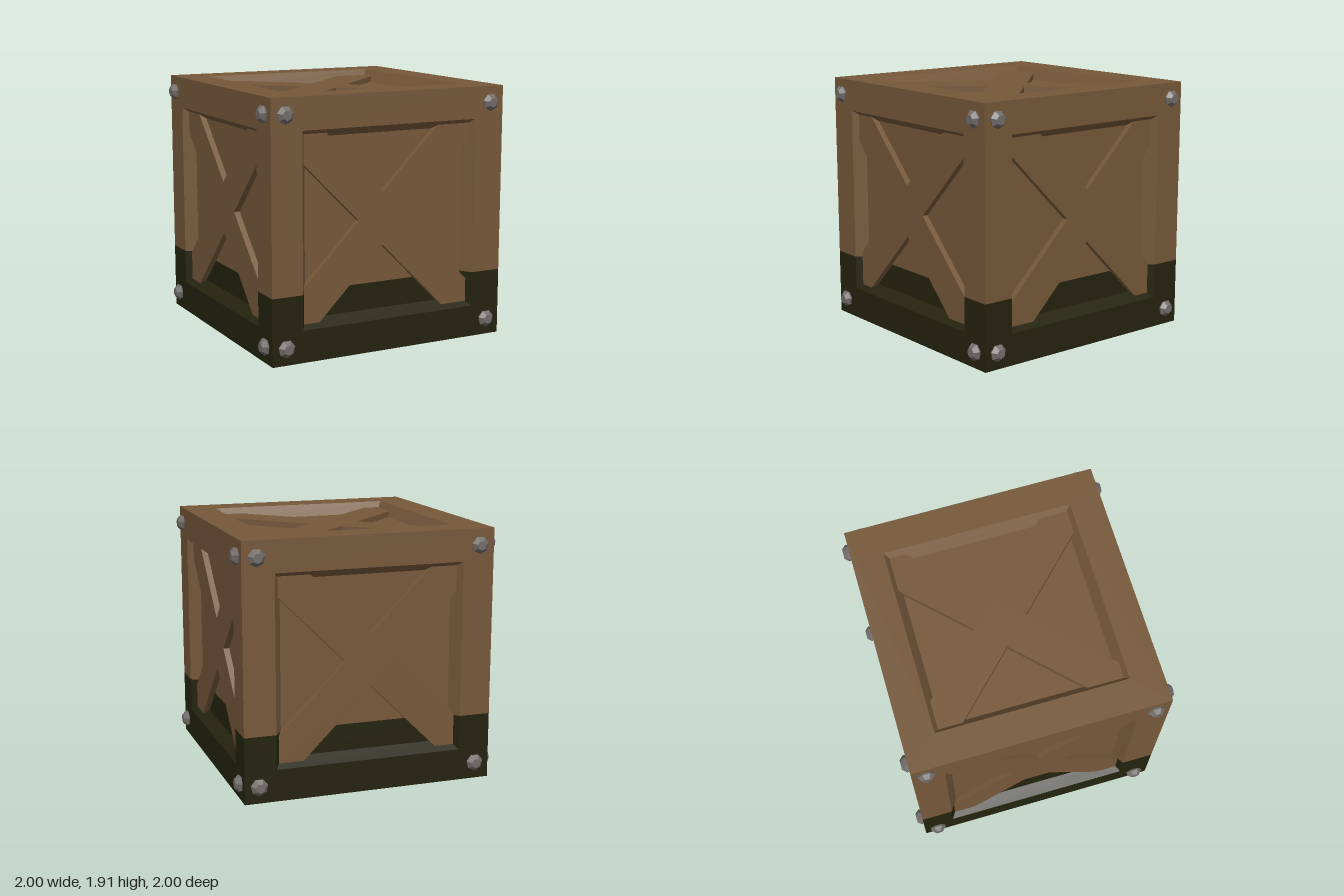
import * as THREE from 'three';

const HALF = 0.954;     // half edge of the crate
const OPEN = 0.715;     // half width of the recess opening
const INNER = 0.655;    // half width of the recessed panel
const DEPTH = 0.09;     // recess depth
const BRACE = 0.045;    // how far the brace stands off the panel
const PAINT_Y = 0.5;    // height of the dark base coat

const V = (x, y, z) => new THREE.Vector3(x, y, z);

// Each side: right, up and outward axes, plus the centre of its brace
const SIDES = [
  { name: 'front', u: V(1, 0, 0), v: V(0, 1, 0), n: V(0, 0, 1), brace: [-0.045, 0.027], bolts: true },
  { name: 'left', u: V(0, 0, -1), v: V(0, 1, 0), n: V(1, 0, 0), brace: [0.038, 0.027], bolts: true },
  { name: 'back', u: V(-1, 0, 0), v: V(0, 1, 0), n: V(0, 0, -1), brace: [0.02, 0.027], bolts: true },
  { name: 'right', u: V(0, 0, 1), v: V(0, 1, 0), n: V(-1, 0, 0), brace: [0, 0.027], bolts: true },
  { name: 'top', u: V(1, 0, 0), v: V(0, 0, -1), n: V(0, 1, 0), brace: [-0.027, 0.045], bolts: false },
  { name: 'bottom', u: V(1, 0, 0), v: V(0, 0, 1), n: V(0, -1, 0), brace: [0, 0], bolts: false },
];

// Part of a polygon above (sign 1) or below (sign -1) the paint line
function clip(poly, sign) {
  const out = [];
  poly.forEach((a, i) => {
    const b = poly[(i + 1) % poly.length];
    const da = sign * (a.y - PAINT_Y), db = sign * (b.y - PAINT_Y);
    if (da >= 0) out.push(a);
    if (da * db < 0) out.push(a.clone().lerp(b, da / (da - db)));
  });
  return out;
}

function polygonsGeometry(polys) {
  const pos = [];
  for (const p of polys) {
    for (let i = 1; i < p.length - 1; i++) {
      for (const q of [p[0], p[i], p[i + 1]]) pos.push(q.x, q.y, q.z);
    }
  }
  const g = new THREE.BufferGeometry();
  g.setAttribute('position', new THREE.Float32BufferAttribute(pos, 3));
  g.computeVertexNormals();
  return g;
}

// Cross-shaped brace cut square at the recess walls
function braceGeometry([cx, cy]) {
  const L = 0.684, h = 0.196;
  const top = L - cy - h, bottom = L + cy - h, left = L + cx - h, right = L - cx - h;
  const points = [
    [cx, cy + h], [cx - top, L], [-L, L], [-L, cy + left],
    [cx - h, cy], [-L, cy - left], [-L, -L], [cx - bottom, -L],
    [cx, cy - h], [cx + bottom, -L], [L, -L], [L, cy - right],
    [cx + h, cy], [L, cy + right], [L, L], [cx + top, L],
  ].map(([x, y]) => new THREE.Vector2(x, y));
  return new THREE.ExtrudeGeometry(new THREE.Shape(points), { depth: BRACE, bevelEnabled: false });
}

export function createModel() {
  const material = (name, color) => {
    const m = new THREE.MeshStandardMaterial({ color });
    m.name = name;
    return m;
  };
  const wood = material('brown wood', 0x76583a);
  const paint = material('dark green base', 0x24230f);
  const metal = material('grey metal', 0x716d6a);
  metal.flatShading = true;

  const crate = new THREE.Group();
  crate.name = 'crate';
  const add = (parent, name, geometry, mat) => {
    const mesh = new THREE.Mesh(geometry, mat);
    mesh.name = name;
    parent.add(mesh);
    return mesh;
  };

  // Faceted bolt head pointing along +z
  const boltGeometry = new THREE.LatheGeometry(
    [[0.058, -0.01], [0.066, 0.014], [0.036, 0.046], [0, 0.046]].map(([r, y]) => new THREE.Vector2(r, y)), 7);
  boltGeometry.rotateX(Math.PI / 2);

  for (const side of SIDES) {
    const { u, v, n } = side;
    const at = (a, b, c) => V(0, HALF, 0).addScaledVector(u, a).addScaledVector(v, b).addScaledVector(n, HALF + c);
    const square = (r, c) => [at(-r, -r, c), at(r, -r, c), at(r, r, c), at(-r, r, c)];
    const ring = (A, B) => A.map((p, i) => [p, A[(i + 1) % 4], B[(i + 1) % 4], B[i]]);

    // Frame border, sloping recess walls and sunken panel
    const outer = square(HALF, 0), rim = square(OPEN, 0), inner = square(INNER, -DEPTH);
    const parts = { Frame: ring(outer, rim), RecessWalls: ring(rim, inner), Panel: [inner] };
    const group = new THREE.Group();
    group.name = side.name + 'Side';
    crate.add(group);
    for (const [part, polys] of Object.entries(parts)) {
      for (const [sign, label, mat] of [[1, 'Upper', wood], [-1, 'Lower', paint]]) {
        const pieces = polys.map((p) => clip(p, sign)).filter((p) => p.length > 2);
        if (pieces.length) add(group, side.name + label + part, polygonsGeometry(pieces), mat);
      }
    }

    // Crossed boards
    const place = (mesh, a, b, c) => {
      mesh.quaternion.setFromRotationMatrix(new THREE.Matrix4().makeBasis(u, v, n));
      mesh.position.copy(at(a, b, c));
    };
    place(add(group, side.name + 'Brace', braceGeometry(side.brace), wood), 0, 0, -DEPTH);

    // Corner bolts
    if (side.bolts) {
      for (const a of [-0.848, 0.84]) {
        for (const b of [-0.828, 0.833]) place(add(group, side.name + 'Bolt', boltGeometry, metal), a, b, 0);
      }
    }
  }
  return crate;
}
